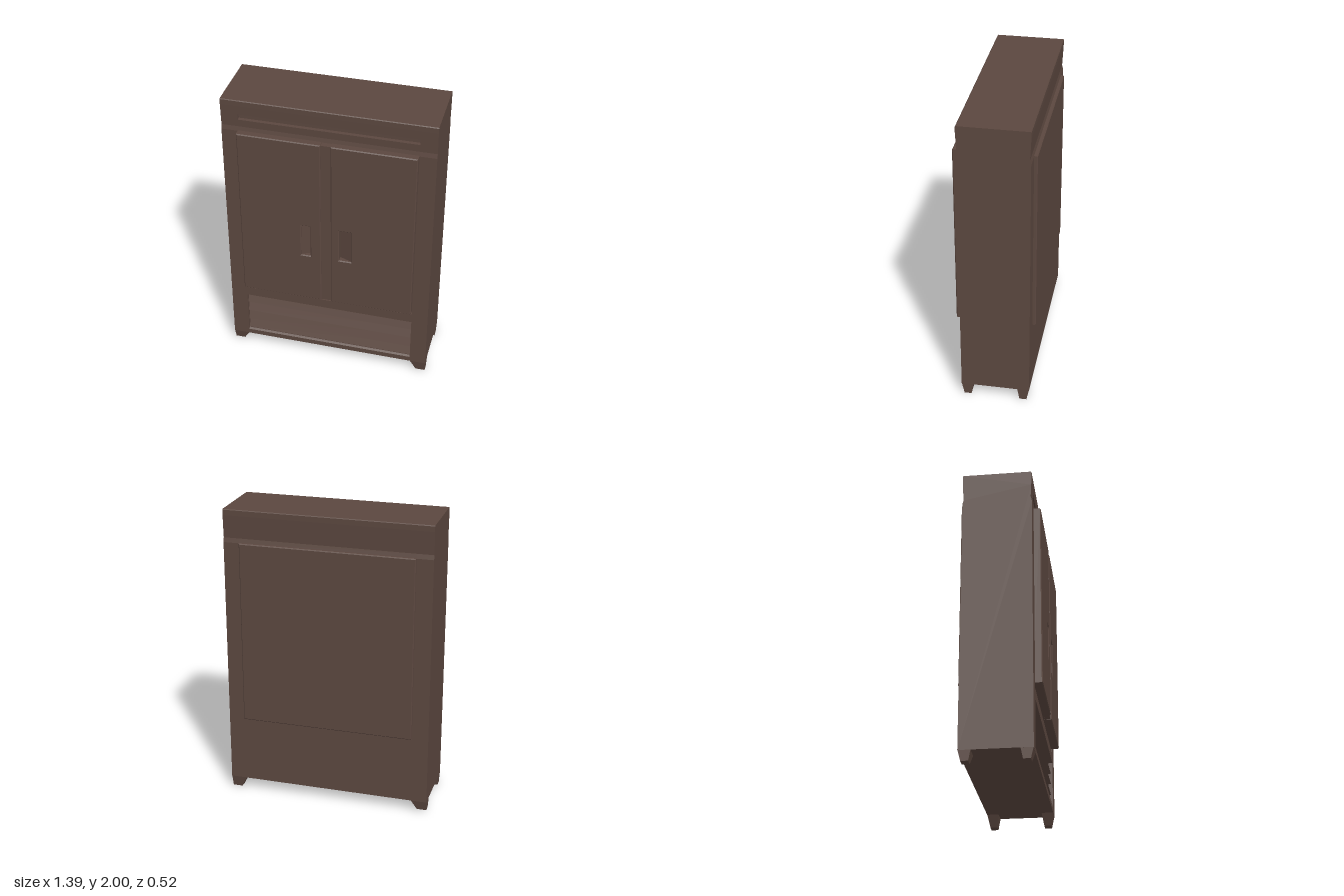
import * as THREE from 'three';

export function createModel() {
  const model = new THREE.Group();
  model.name = 'cabinet';
  const wood = new THREE.MeshStandardMaterial({ color: 0x5b473f });
  wood.name = 'dark brown wood';

  const add = (name, geometry) => {
    const mesh = new THREE.Mesh(geometry, wood);
    mesh.name = name;
    model.add(mesh);
    return mesh;
  };

  // Extrudes a [z, y] side profile along x
  const slab = (name, profile, x0, x1) => {
    const shape = new THREE.Shape(profile.map(([z, y]) => new THREE.Vector2(-z, y)));
    const g = new THREE.ExtrudeGeometry(shape, { depth: x1 - x0, bevelEnabled: false });
    g.rotateY(Math.PI / 2);
    g.translate(x0, 0, 0);
    add(name, g);
  };

  // Carcass: shared back and front outlines with a shallow groove under the crown
  const F = 0.215, B = -0.24;
  const back = [[B, 0.08], [B, 1.78], [B + 0.008, 1.81], [B + 0.004, 1.88], [B, 1.96], [B, 1.995], [B + 0.005, 2]];
  const crown = [[F - 0.005, 2], [F, 1.995], [F, 1.96], [F - 0.003, 1.9]];
  const neck = [[F - 0.005, 1.86], [F - 0.007, 1.81], [F, 1.78]];
  const stile = [...back, ...crown, ...neck, [F, 0.08]];
  slab('leftStile', stile, 0.583, 0.693);
  slab('rightStile', stile, -0.693, -0.583);

  // Middle section with two slots and a stack of louvres cut into its front
  const louvres = [];
  const steps = [0.436, 0.355, 0.28, 0.2, 0.125];
  for (let i = 0; i < 4; i++) {
    louvres.push([F - 0.045, steps[i]], [F - 0.012, steps[i + 1] + 0.004]);
  }
  slab('middleSection', [
    ...back, ...crown,
    [F - 0.03, 1.9], [F - 0.03, 1.86],
    ...neck,
    [F, 0.54], [F - 0.02, 0.535], [F - 0.02, 0.503], [F, 0.503],
    [F, 0.436], ...louvres,
    [F - 0.012, 0.125], [F, 0.115], [F, 0.08],
  ], -0.583, 0.583);

  // Rectangle traced as a shape or a hole
  const rect = (path, x0, x1, y0, y1) => {
    path.moveTo(x0, y0);
    path.lineTo(x1, y0);
    path.lineTo(x1, y1);
    path.lineTo(x0, y1);
    path.closePath();
    return path;
  };
  const bevel = 0.006;

  // Doors with a handle pocket whose floor slopes towards the seam
  const door = (name, x0, x1, p0, p1, deepAtLeft) => {
    const shape = rect(new THREE.Shape(), x0 + bevel, x1 - bevel, 0.54 + bevel, 1.784 - bevel);
    shape.holes.push(rect(new THREE.Path(), p0 - 0.002, p1 + 0.002, 0.898, 1.152));
    const g = new THREE.ExtrudeGeometry(shape, {
      depth: 0.052, bevelSize: bevel, bevelThickness: bevel, bevelSegments: 1,
    });
    g.translate(0, 0, 0.262 - 0.052 - bevel);
    add(name, g);

    // Sloping pocket floor
    const wedge = new THREE.Shape();
    const [zl, zr] = deepAtLeft ? [0.217, 0.254] : [0.254, 0.217];
    wedge.moveTo(p0 - 0.002, -0.2);
    wedge.lineTo(p1 + 0.002, -0.2);
    wedge.lineTo(p1 + 0.002, -zr);
    wedge.lineTo(p0 - 0.002, -zl);
    const w = new THREE.ExtrudeGeometry(wedge, { depth: 0.256, bevelEnabled: false });
    w.rotateX(-Math.PI / 2);
    // The shape now lies in xz and rises along y
    w.rotateX(0);
    w.translate(0, 0.897, 0);
    const pos = w.attributes.position;
    for (let i = 0; i < pos.count; i++) pos.setZ(i, Math.abs(pos.getZ(i)));
    w.computeVertexNormals();
    add(name + 'Pocket', w);
  };
  door('leftDoor', 0.031, 0.583, 0.083, 0.174, true);
  door('rightDoor', -0.583, -0.036, -0.174, -0.103, false);

  // Strip between the doors
  const strip = add('centreStrip', new THREE.BoxGeometry(0.075, 1.238, 0.05));
  strip.position.set(-0.002, 1.162, 0.228);

  // Raised back panel
  const panel = new THREE.ExtrudeGeometry(
    rect(new THREE.Shape(), -0.583 + bevel, 0.583 - bevel, 0.54 + bevel, 1.784 - bevel),
    { depth: 0.03, bevelSize: bevel, bevelThickness: bevel, bevelSegments: 1 });
  panel.translate(0, 0, -0.262 + bevel);
  add('backPanel', panel);

  // Tapered feet under the four corners
  for (const sx of [-1, 1]) {
    for (const sz of [-1, 1]) {
      const g = new THREE.BoxGeometry(1, 1, 1);
      const p = g.attributes.position;
      const outerZ = sz > 0 ? F : B;
      for (let i = 0; i < p.count; i++) {
        const top = p.getY(i) > 0;
        const outX = p.getX(i) * sx > 0;
        const outZ = p.getZ(i) * sz > 0;
        p.setXYZ(i,
          sx * (outX ? (top ? 0.693 : 0.69) : (top ? 0.583 : 0.625)),
          top ? 0.085 : (sx < 0 ? 0.012 : 0),
          outerZ - sz * (outZ ? (top ? 0 : 0.018) : (top ? 0.08 : 0.065)));
      }
      const flat = g.toNonIndexed();
      flat.computeVertexNormals();
      add((sz > 0 ? 'front' : 'back') + (sx > 0 ? 'Left' : 'Right') + 'Foot', flat);
    }
  }
  return model;
}
